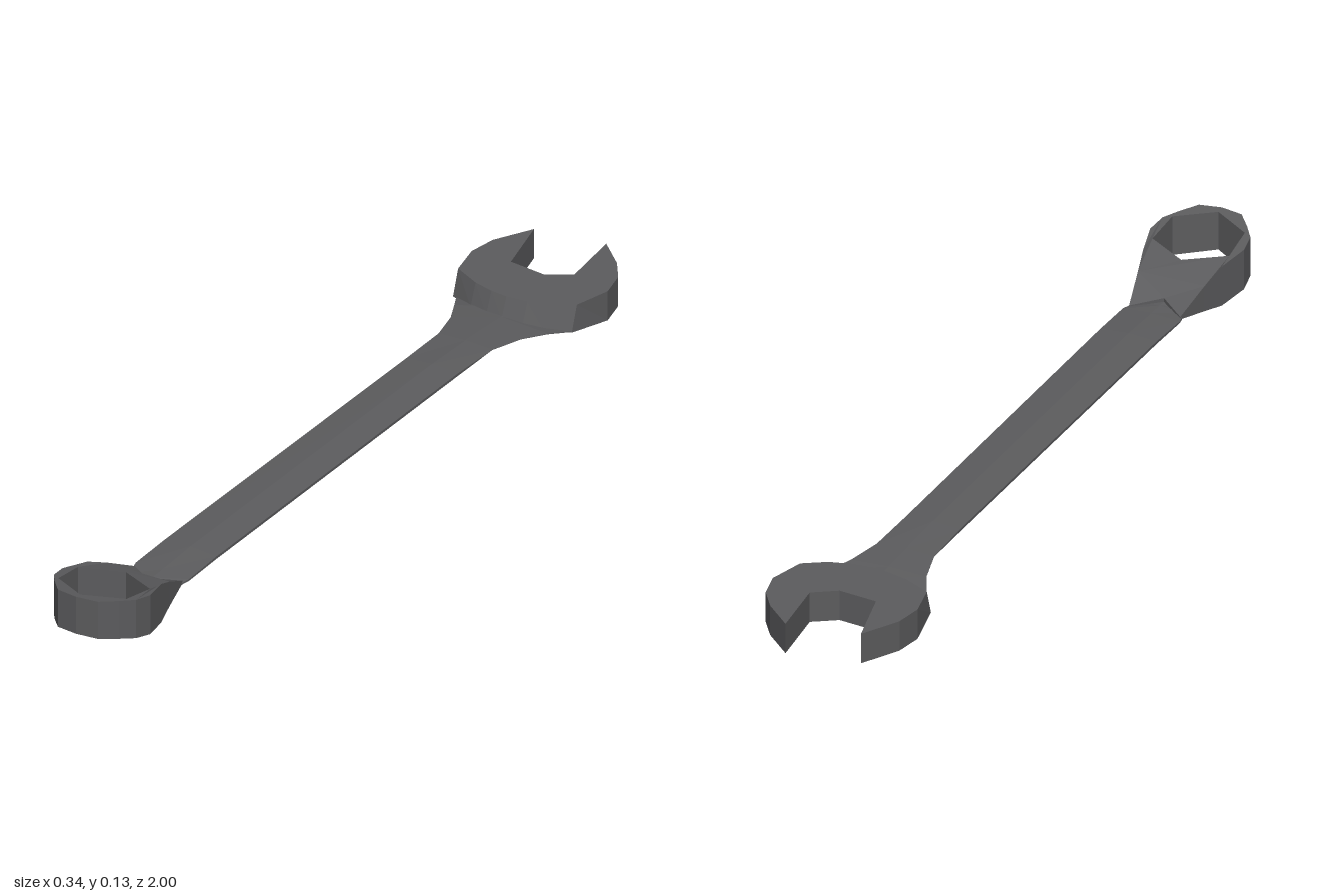
import * as THREE from 'three';

const steel = new THREE.MeshStandardMaterial({ color: 0x5c5c5e });
steel.name = 'dark steel';

// Piecewise linear curve through [position, value] pairs
function curve(points, t) {
  if (t <= points[0][0]) return points[0][1];
  for (let i = 1; i < points.length; i++) {
    const [a, va] = points[i - 1], [b, vb] = points[i];
    if (t <= b) return va + (vb - va) * (t - a) / (b - a);
  }
  return points[points.length - 1][1];
}

function faceted(geometry) {
  const g = geometry.index ? geometry.toNonIndexed() : geometry;
  g.computeVertexNormals();
  return g;
}

function part(name, geometry) {
  const mesh = new THREE.Mesh(faceted(geometry), steel);
  mesh.name = name;
  return mesh;
}

// Plan outline in (x, z), given height by bottom and top curves along z.
// The hole runs against the outline so that its walls face inwards.
function slab(outline, hole, bottom, top, flare = 0) {
  const toPlan = ([x, z]) => new THREE.Vector2(x, -z);
  const shape = new THREE.Shape(outline.map(toPlan));
  if (hole) shape.holes.push(new THREE.Path(hole.map(toPlan).reverse()));
  const g = new THREE.ExtrudeGeometry(shape, { depth: 1, bevelEnabled: false });
  g.rotateX(-Math.PI / 2);
  const p = g.attributes.position;
  for (let i = 0; i < p.count; i++) {
    const z = p.getZ(i);
    if (p.getY(i) > 0.5) p.setY(i, curve(top, z));
    else {
      p.setY(i, curve(bottom, z));
      if (z > -0.76) p.setZ(i, z + flare);
    }
  }
  return g;
}

// Slightly crowned bar: box slices follow [z, half width, bottom, top, edge thickness]
function bar(stations) {
  const n = stations.length - 1;
  const g = new THREE.BoxGeometry(2, 1, 1, 2, 1, n);
  const p = g.attributes.position;
  for (let i = 0; i < p.count; i++) {
    const [z, w, lo, hi, edge] = stations[Math.round((p.getZ(i) + 0.5) * n)];
    const x = p.getX(i);
    const top = Math.abs(x) > 0.5 ? lo + edge : hi;
    p.setXYZ(i, x * w, p.getY(i) > 0 ? top : lo, z);
  }
  return g;
}

export function createModel() {
  const group = new THREE.Group();
  group.name = 'combination wrench';

  // Shank, widening and sloping down into the open jaw
  group.add(part('handle', bar([
    [-0.76, 0.148, 0.009, 0.026, 0.002],
    [-0.725, 0.146, 0.012, 0.028, 0.002],
    [-0.67, 0.117, 0.023, 0.031, 0.002],
    [-0.61, 0.088, 0.03, 0.035, 0.001],
    [-0.53, 0.067, 0.035, 0.039, 0.001],
    [-0.4, 0.064, 0.032, 0.043, 0.006],
    [0.55, 0.066, 0.032, 0.043, 0.006],
    [0.66, 0.067, 0.03, 0.038, 0.004],
    [0.7, 0.057, 0.027, 0.037, 0.004],
    [0.74, 0.05, 0.022, 0.036, 0.004],
  ])));

  // Open jaw with the slanted slot
  group.add(part('openJaw', slab([
    [-0.11, -0.972], [-0.158, -0.885], [-0.169, -0.82], [-0.152, -0.74],
    [-0.088, -0.708], [-0.04, -0.695], [0, -0.691], [0.05, -0.695], [0.095, -0.708],
    [0.145, -0.74], [0.168, -0.825], [0.153, -0.89], [0.118, -0.94],
    [0.053, -1], [0.069, -0.85], [0.016, -0.815], [-0.074, -0.825],
  ], null,
  [[-0.8, 0], [-0.74, 0.012], [-0.69, 0.023]],
  [[-1, 0.07], [-0.69, 0.07]], 0.02)));

  // Tilted ring with its neck and six-sided opening
  const mirror = (half) => [...half, ...half.filter(([x]) => x > 0).reverse().map(([x, z]) => [-x, z])];
  group.add(part('ringHead', slab(
    mirror([
      [0, 0.72], [0.06, 0.675], [0.078, 0.755], [0.092, 0.81], [0.11, 0.88],
      [0.103, 0.925], [0.08, 0.957], [0.05, 0.992], [0, 1],
    ]),
    mirror([[0, 0.803], [0.09, 0.85], [0.085, 0.935], [0, 0.983]]),
    [[0.675, 0.029], [0.82, 0.004], [1, 0.04]],
    [[0.675, 0.035], [0.72, 0.045], [0.755, 0.075], [0.805, 0.098], [1, 0.129]],
  )));

  return group;
}
